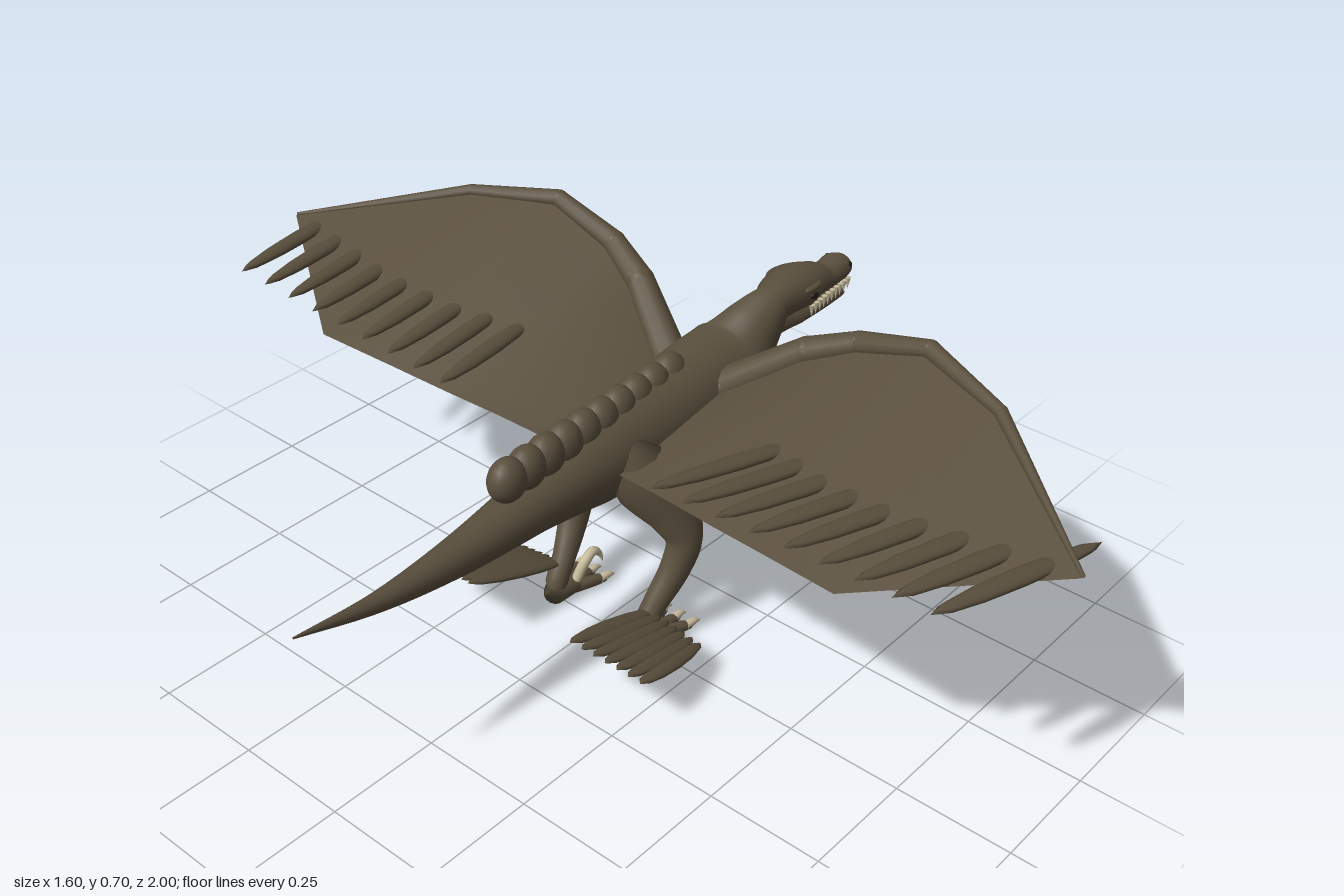
import * as THREE from 'three';

const skin = new THREE.MeshStandardMaterial({ color: 0x5a4f3d, side: THREE.DoubleSide });
skin.name = 'brown skin';
const ivory = new THREE.MeshStandardMaterial({ color: 0xc4b99a });
ivory.name = 'ivory claw';
const dark = new THREE.MeshStandardMaterial({ color: 0x1d1a14 });
dark.name = 'dark eye';

const V = (x, y, z) => new THREE.Vector3(x, y, z);

function add(group, name, geometry, material) {
  const mesh = new THREE.Mesh(geometry, material);
  mesh.name = name;
  group.add(mesh);
  return mesh;
}

// Smooth tube through rows of [x, y, z, radius, optional z radius]; side mirrors z
function taper(rows, side = 1, seg = 32, sides = 16) {
  const curve = new THREE.CatmullRomCurve3(rows.map(r => V(r[0], r[1], r[2] * side)));
  const geo = new THREE.TubeGeometry(curve, seg, 1, sides);
  const pos = geo.attributes.position;
  const p = V(0, 0, 0);
  for (let i = 0; i <= seg; i++) {
    const c = curve.getPointAt(i / seg);
    const t = curve.getUtoTmapping(i / seg) * (rows.length - 1);
    const k = Math.min(Math.floor(t), rows.length - 2);
    const f = t - k, a = rows[k], b = rows[k + 1];
    const ry = THREE.MathUtils.lerp(a[3], b[3], f);
    const rz = THREE.MathUtils.lerp(a[4] ?? a[3], b[4] ?? b[3], f);
    for (let j = 0; j <= sides; j++) {
      const n = i * (sides + 1) + j;
      p.fromBufferAttribute(pos, n).sub(c);
      pos.setXYZ(n, c.x + p.x * ry, c.y + p.y * ry, c.z + p.z * rz);
    }
  }
  return geo;
}

// Leaf-shaped feather stretched between two points
function feather(group, a, b, width, height) {
  const mesh = add(group, 'feather', new THREE.SphereGeometry(1, 12, 8), skin);
  mesh.position.copy(a).add(b).multiplyScalar(0.5);
  mesh.lookAt(b);
  mesh.scale.set(width, height, a.distanceTo(b) / 2);
}

function ball(group, name, x, y, z, sx, sy, sz, material) {
  const mesh = add(group, name, new THREE.SphereGeometry(1, 18, 12), material);
  mesh.position.set(x, y, z);
  mesh.scale.set(sx, sy, sz);
}

function makeHead() {
  const head = new THREE.Group();
  head.name = 'head';
  add(head, 'upperJaw', taper([
    [0.52, 0.54, 0, 0.03], [0.56, 0.55, 0, 0.045, 0.05], [0.62, 0.555, 0, 0.046, 0.064],
    [0.68, 0.548, 0, 0.037, 0.048], [0.73, 0.535, 0, 0.027, 0.036], [0.775, 0.54, 0, 0.03, 0.037],
    [0.798, 0.538, 0, 0.023, 0.03], [0.806, 0.536, 0, 0.001],
  ], 1, 48, 20), skin);
  add(head, 'lowerJaw', taper([
    [0.53, 0.5, 0, 0.03, 0.036], [0.6, 0.495, 0, 0.02, 0.045], [0.7, 0.484, 0, 0.012, 0.035],
    [0.78, 0.482, 0, 0.011, 0.028], [0.8, 0.482, 0, 0.001],
  ]), skin);
  const tooth = (x, z) => {
    const mesh = add(head, 'tooth', new THREE.ConeGeometry(0.007, 0.03, 6), ivory);
    mesh.position.set(x, 0.502, z);
    mesh.rotation.x = Math.PI;
  };
  for (const s of [1, -1]) {
    for (let i = 0; i < 10; i++) tooth(0.635 + i * 0.017, s * (0.042 - i * 0.0016));
    tooth(0.798, s * 0.012);
    ball(head, 'eye', 0.615, 0.556, s * 0.06, 0.012, 0.008, 0.006, dark);
    ball(head, 'brow', 0.62, 0.571, s * 0.05, 0.03, 0.008, 0.012, skin);
    ball(head, 'nostril', 0.785, 0.552, s * 0.03, 0.007, 0.005, 0.005, dark);
  }
  return head;
}

function makeWing(s) {
  const wing = new THREE.Group();
  wing.name = s > 0 ? 'nearWing' : 'farWing';
  // Leading and trailing edges, from the body to the tip
  const lead = [[0.3, 0.48, 0.07], [0.37, 0.59, 0.22], [0.4, 0.635, 0.32], [0.4, 0.685, 0.48], [0.33, 0.665, 0.68], [0.09, 0.59, 1]];
  const trail = [[-0.04, 0.44, 0.08], [-0.065, 0.46, 0.22], [-0.085, 0.472, 0.34], [-0.11, 0.49, 0.48], [-0.14, 0.51, 0.66], [0.085, 0.588, 0.998]];
  const radii = [0.04, 0.032, 0.026, 0.02, 0.014, 0.004];
  for (let i = 0; i < 5; i++) {
    const a = lead[i], b = lead[i + 1];
    add(wing, 'wingArm', taper([[...a, radii[i]], [...b, radii[i + 1]]], s, 1, 12), skin);
    ball(wing, 'wingJoint', a[0], a[1], a[2] * s, radii[i], radii[i], radii[i], skin);
  }
  // Membrane strips between the edges
  const verts = [], index = [], steps = 8;
  lead.forEach((a, i) => {
    for (let j = 0; j <= steps; j++) {
      const f = j / steps;
      const p = V(...a).lerp(V(...trail[i]), f);
      verts.push(p.x, p.y, p.z * s);
      if (i && j) {
        const n = i * (steps + 1) + j, m = n - steps - 1;
        if (s > 0) index.push(m - 1, m, n, m - 1, n, n - 1);
        else index.push(m - 1, n, m, m - 1, n - 1, n);
      }
    }
  });
  const geo = new THREE.BufferGeometry();
  geo.setAttribute('position', new THREE.Float32BufferAttribute(verts, 3));
  geo.setIndex(index.reverse());
  geo.computeVertexNormals();
  add(wing, 'membrane', geo, skin);
  for (let i = 0; i < 9; i++) {
    const z = 0.87 - i * 0.075;
    feather(wing, V(-0.175, 0.598 - i * 0.004, s * z), V(0.22, 0.572 - i * 0.006, s * (z + 0.095)), 0.022, 0.012);
  }
  return wing;
}

function makeForeleg(s) {
  const leg = new THREE.Group();
  leg.name = 'foreleg';
  add(leg, 'arm', taper([
    [0.34, 0.5, 0.04, 0.03], [0.355, 0.44, 0.09, 0.044], [0.37, 0.36, 0.135, 0.04], [0.405, 0.265, 0.17, 0.03],
    [0.45, 0.195, 0.172, 0.02], [0.485, 0.178, 0.17, 0.017, 0.02], [0.5, 0.172, 0.17, 0.001],
  ], s), skin);
  for (const d of [-1, 0, 1]) {
    add(leg, 'finger', taper([[0.475, 0.178, 0.17 + d * 0.012, 0.009], [0.51, 0.175, 0.17 + d * 0.025, 0.009],
      [0.53, 0.165, 0.17 + d * 0.032, 0.007]], s, 8, 8), skin);
    add(leg, 'fingerClaw', taper([[0.515, 0.172, 0.17 + d * 0.027, 0.009], [0.54, 0.163, 0.17 + d * 0.034, 0.008],
      [0.562, 0.143, 0.17 + d * 0.034, 0.001]], s, 8, 8), ivory);
  }
  return leg;
}

function makeHindLeg(s) {
  const leg = new THREE.Group();
  leg.name = 'hindLeg';
  add(leg, 'thighAndShin', taper([
    [0.02, 0.47, 0.05, 0.03], [0.03, 0.41, 0.085, 0.078, 0.05], [0.07, 0.32, 0.125, 0.055, 0.045], [0.09, 0.25, 0.145, 0.042, 0.036],
    [0.07, 0.18, 0.14, 0.038, 0.03], [0.02, 0.1, 0.125, 0.025], [-0.01, 0.05, 0.12, 0.024], [-0.01, 0.02, 0.12, 0.01],
  ], s), skin);
  add(leg, 'foot', taper([[-0.045, 0.04, 0.12, 0.004], [-0.02, 0.03, 0.12, 0.026], [0.03, 0.028, 0.12, 0.022, 0.03],
    [0.07, 0.02, 0.12, 0.012, 0.025], [0.08, 0.018, 0.12, 0.001]], s), skin);
  for (const d of [-1, 0, 1]) {
    add(leg, 'toe', taper([[0.03, 0.025, 0.12 + d * 0.015, 0.014], [0.08, 0.022, 0.12 + d * 0.03, 0.013],
      [0.105, 0.018, 0.12 + d * 0.036, 0.009]], s, 8, 8), skin);
    add(leg, 'toeClaw', taper([[0.09, 0.02, 0.12 + d * 0.033, 0.011], [0.115, 0.022, 0.12 + d * 0.038, 0.008],
      [0.135, 0.012, 0.12 + d * 0.038, 0.001]], s, 8, 8), ivory);
  }
  // Raised sickle claw
  add(leg, 'sickleClaw', taper([[0.035, 0.04, 0.105, 0.011], [0.06, 0.08, 0.1, 0.012], [0.085, 0.093, 0.1, 0.011],
    [0.105, 0.075, 0.1, 0.007], [0.115, 0.05, 0.1, 0.001]], s, 16, 8), ivory);
  // Fan of feathers behind the ankle
  for (let i = 0; i < 7; i++) {
    feather(leg, V(-0.25 + 0.006 * i, 0.18 - 0.007 * i, s * (0.14 + 0.025 * i)),
      V(0.02, 0.09 - 0.003 * i, s * (0.125 + 0.021 * i)), 0.022, 0.01);
  }
  return leg;
}

export function createModel() {
  const model = new THREE.Group();
  model.name = 'featheredReptile';
  add(model, 'bodyAndTail', taper([
    [-0.795, 0.453, 0, 0.002], [-0.6, 0.417, 0, 0.02], [-0.4, 0.408, 0, 0.04], [-0.2, 0.42, 0, 0.06],
    [-0.05, 0.432, 0, 0.09, 0.083], [0.1, 0.435, 0, 0.11, 0.09], [0.3, 0.45, 0, 0.115, 0.09], [0.4, 0.465, 0, 0.11, 0.09],
    [0.48, 0.51, 0, 0.078, 0.06], [0.54, 0.535, 0, 0.055, 0.042], [0.59, 0.54, 0, 0.03],
  ], 1, 72, 28), skin);
  // Ridge of overlapping segments along the back
  for (let i = 0; i < 10; i++) ball(model, 'backSegment', -0.265 + i * 0.052, 0.508 + i * 0.002, 0, 0.044, 0.047, 0.036, skin);
  model.add(makeHead());
  for (const s of [1, -1]) model.add(makeWing(s), makeForeleg(s), makeHindLeg(s));
  return model;
}
